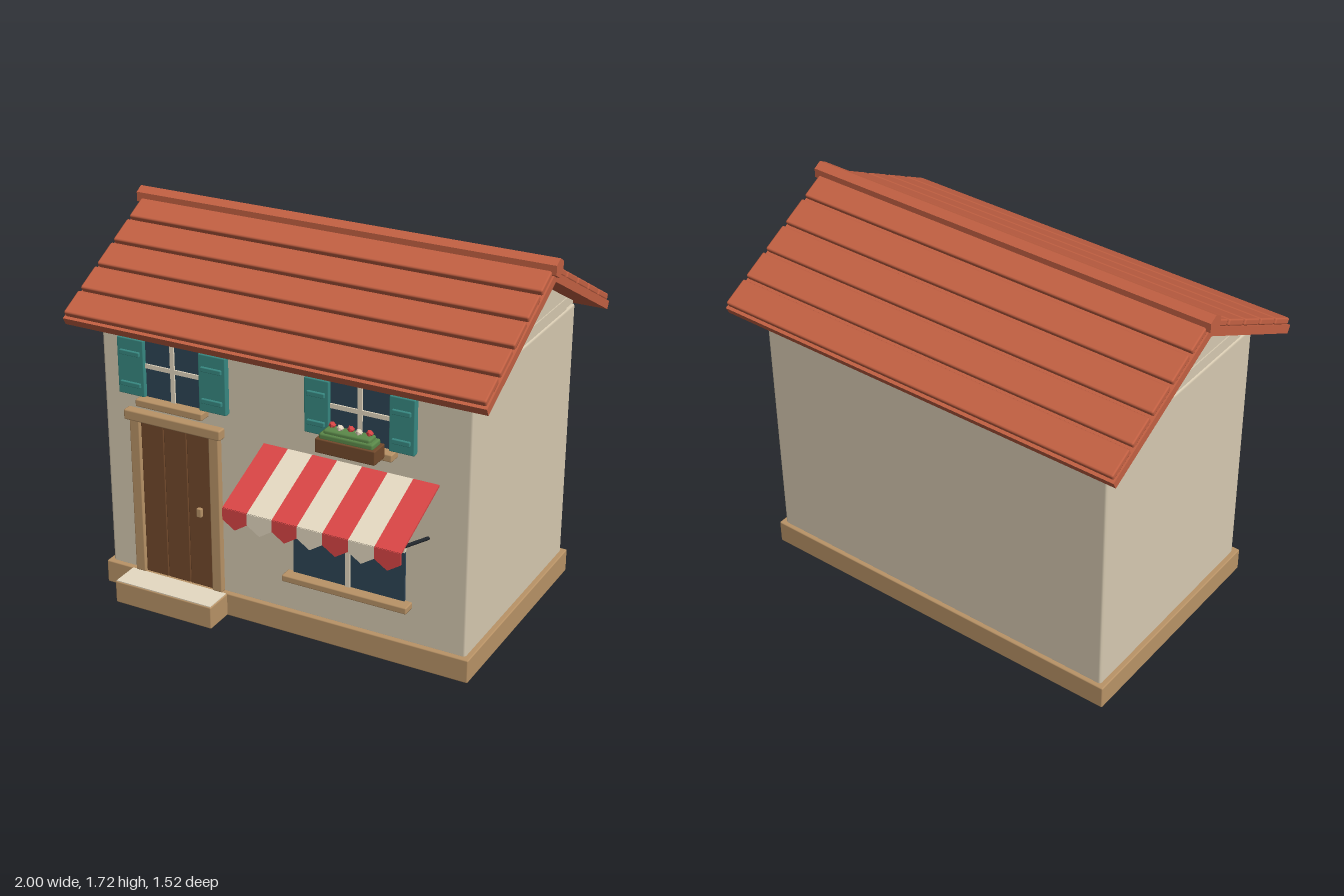
import * as THREE from 'three';
import { toCreasedNormals } from 'three/addons/utils/BufferGeometryUtils.js';
import { RoundedBoxGeometry } from 'three/addons/geometries/RoundedBoxGeometry.js';

const mat = (name, color) => {
  const m = new THREE.MeshStandardMaterial({ color });
  m.name = name;
  return m;
};
const M = {
  wall: mat('plaster', 0xd8cbb2),
  timber: mat('tan timber', 0xba9467),
  roof: mat('terracotta', 0xc46143),
  wood: mat('dark wood', 0x734a2c),
  teal: mat('teal paint', 0x388a83),
  glass: mat('dark glass', 0x2e4556),
  red: mat('red cloth', 0xda4646),
  cream: mat('cream', 0xe6dac2),
  green: mat('leaf green', 0x5c8a4a),
  iron: mat('dark iron', 0x22282e),
};
const FRONT = 0.414; // front wall plane
const RIDGE_Z = -0.11;

function add(parent, name, geometry, material) {
  const mesh = new THREE.Mesh(geometry, material);
  mesh.name = name;
  parent.add(mesh);
  return mesh;
}

// Box given by its limits on each axis, with an optional softened edge
function box(parent, name, material, [x0, x1], [y0, y1], [z0, z1], bevel = 0) {
  const size = [x1 - x0, y1 - y0, z1 - z0];
  const g = bevel ? new RoundedBoxGeometry(...size, 1, bevel) : new THREE.BoxGeometry(...size);
  const mesh = add(parent, name, g, material);
  mesh.position.set((x0 + x1) / 2, (y0 + y1) / 2, (z0 + z1) / 2);
  return mesh;
}

function group(parent, name) {
  const g = new THREE.Group();
  g.name = name;
  parent.add(g);
  return g;
}

// Glass pane with a cross of glazing bars
function pane(parent, [x0, x1], [y0, y1], barY, bar = 0.02) {
  const cx = (x0 + x1) / 2;
  box(parent, 'glass', M.glass, [x0, x1], [y0, y1], [FRONT - 0.01, 0.423]);
  box(parent, 'verticalBar', M.cream, [cx - bar / 2, cx + bar / 2], [y0, y1], [FRONT, 0.431]);
  box(parent, 'horizontalBar', M.cream, [x0, x1], [barY - bar / 2, barY + bar / 2], [FRONT, 0.43]);
}

function shutteredWindow(parent, cx, half, y0, shutterWidth) {
  const w = group(parent, 'shutteredWindow');
  const y1 = 1.238;
  pane(w, [cx - half, cx + half], [y0, y1], (y0 + y1) / 2 + 0.012);
  box(w, 'lintel', M.timber, [cx - half - 0.012, cx + half + 0.012], [y1, 1.273], [FRONT - 0.01, 0.439], 0.005);
  box(w, 'sill', M.timber, [cx - half - 0.03, cx + half + 0.03], [y0 - 0.034, y0], [FRONT - 0.01, 0.473], 0.006);
  for (const s of [-1, 1]) {
    const a = cx + s * half, b = a + s * shutterWidth;
    const x = [Math.min(a, b), Math.max(a, b)];
    box(w, 'shutter', M.teal, x, [y0, y1 - 0.003], [FRONT - 0.005, 0.442], 0.005);
    for (const y of [y0 + 0.052, y1 - 0.068]) {
      box(w, 'shutterRail', M.teal, [x[0] + 0.016, x[1] - 0.016], [y - 0.011, y + 0.011], [0.435, 0.453], 0.004);
    }
  }
}

function buildRoof(parent) {
  const roof = group(parent, 'roof');
  const tilt = Math.atan(0.53);
  for (const turn of [0, Math.PI]) {
    const side = group(roof, 'roofSide');
    side.position.set(0, 1.615, RIDGE_Z);
    side.rotation.y = turn;
    const slope = group(side, 'roofSlope');
    slope.rotation.x = tilt;
    box(slope, 'roofSlab', M.roof, [-0.985, 0.985], [0, 0.037], [-0.01, 0.717]);
    // Five courses of tiles, from the eave up
    for (let i = 0; i < 5; i++) {
      const end = 0.705 - i * 0.147;
      box(slope, 'tileCourse', M.roof, [-0.98, 0.98], [0.036, 0.066], [end - 0.13, end], 0.008);
    }
  }
  const g = new THREE.CylinderGeometry(0.042, 0.042, 2, 6);
  g.rotateY(Math.PI / 6);
  g.rotateZ(Math.PI / 2);
  add(roof, 'ridgeCap', toCreasedNormals(g, 0.3), M.roof).position.set(0, 1.676, RIDGE_Z);
}

function buildDoor(parent) {
  const door = group(parent, 'door');
  const x0 = -0.688, plank = 0.1165;
  box(door, 'doorBacking', M.wood, [x0, -0.337], [0.11, 0.852], [FRONT - 0.01, 0.418]);
  for (let i = 0; i < 3; i++) {
    const x = x0 + i * plank;
    box(door, 'doorPlank', M.wood, [x + 0.001, x + plank - 0.001], [0.11, 0.852], [FRONT - 0.005, 0.428], 0.004);
  }
  for (const x of [-0.738, -0.337]) {
    box(door, 'doorJamb', M.timber, [x, x + 0.05], [0.108, 0.856], [FRONT - 0.01, 0.441], 0.006);
  }
  box(door, 'doorLintel', M.timber, [-0.757, -0.27], [0.854, 0.903], [FRONT - 0.01, 0.455], 0.008);
  box(door, 'doorHandle', M.timber, [-0.405, -0.381], [0.458, 0.5], [0.425, 0.445], 0.004);
  box(door, 'doorstep', M.timber, [-0.762, -0.263], [0, 0.107], [0.42, 0.574], 0.006);
  box(door, 'stepTread', M.cream, [-0.757, -0.268], [0.105, 0.11], [0.437, 0.57]);
}

function buildAwning(parent) {
  const awning = group(parent, 'awning');
  const x0 = -0.072, w = 0.813 / 7;
  const top = [0.877, 0.42], edge = [0.73, 0.76]; // y, z
  const drop = top[0] - edge[0], run = edge[1] - top[1];
  for (let i = 0; i < 7; i++) {
    const material = i % 2 ? M.cream : M.red;
    const cx = x0 + (i + 0.5) * w;
    const cloth = add(awning, 'awningStripe', new THREE.BoxGeometry(w, 0.009, Math.hypot(drop, run)), material);
    cloth.position.set(cx, (top[0] + edge[0]) / 2, (top[1] + edge[1]) / 2);
    cloth.rotation.x = Math.atan2(drop, run);
    // Hanging flap ending in a point
    const flap = new THREE.Shape([[-0.5, 0], [-0.5, -0.052], [0, -0.09], [0.5, -0.052], [0.5, 0]]
      .map(([x, y]) => new THREE.Vector2(x * w, y)));
    add(awning, 'awningFlap', new THREE.ExtrudeGeometry(flap, { depth: 0.008, bevelEnabled: false }), material)
      .position.set(cx, 0.732, 0.756);
  }
  for (const x of [-0.033, 0.694]) {
    const path = new THREE.LineCurve3(new THREE.Vector3(x, 0.622, 0.41), new THREE.Vector3(x, 0.726, 0.75));
    add(awning, 'awningArm', new THREE.TubeGeometry(path, 1, 0.008, 8), M.iron);
  }
}

function buildFlowerBox(parent) {
  const planter = group(parent, 'flowerBox');
  box(planter, 'planter', M.wood, [0.249, 0.521], [0.973, 1.036], [0.473, 0.564], 0.005);
  box(planter, 'lowerLeaves', M.green, [0.262, 0.508], [1.03, 1.06], [0.481, 0.557], 0.01);
  box(planter, 'upperLeaves', M.green, [0.278, 0.492], [1.05, 1.076], [0.488, 0.55], 0.01);
  for (let i = 0; i < 5; i++) {
    const flower = add(planter, 'flower', new THREE.IcosahedronGeometry(0.016, 0), i % 2 ? M.cream : M.red);
    flower.position.set(0.3 + i * 0.0425, 1.083, 0.507 + (i % 2) * 0.012);
  }
}

export function createModel() {
  const house = new THREE.Group();
  house.name = 'house';

  box(house, 'plinth', M.timber, [-0.9, 0.9], [0, 0.11], [-0.656, 0.437], 0.006);
  box(house, 'walls', M.wall, [-0.877, 0.877], [0.1, 1.325], [-0.637, FRONT], 0.012);

  // Gable fill under the roof, set in slightly from the walls
  const gable = new THREE.Shape([[-0.525, 1.31], [0.525, 1.31], [0.525, 1.335], [0, 1.613], [-0.525, 1.335]]
    .map(([x, y]) => new THREE.Vector2(x, y)));
  const gableGeometry = new THREE.ExtrudeGeometry(gable, { depth: 1.73, bevelEnabled: false });
  gableGeometry.translate(0, 0, -0.865);
  gableGeometry.rotateY(Math.PI / 2);
  add(house, 'gable', gableGeometry, M.wall).position.z = RIDGE_Z;
  box(house, 'gableBand', M.wall, [-0.87, 0.87], [1.315, 1.375], [RIDGE_Z - 0.44, RIDGE_Z + 0.44]);

  buildRoof(house);
  buildDoor(house);

  shutteredWindow(house, -0.513, 0.137, 0.973, 0.133);
  shutteredWindow(house, 0.384, 0.137, 0.989, 0.115);
  buildFlowerBox(house);

  const shop = group(house, 'shopWindow');
  pane(shop, [0.067, 0.596], [0.3, 0.75], 0.545, 0.021);
  box(shop, 'sill', M.timber, [0.035, 0.628], [0.272, 0.303], [FRONT - 0.01, 0.473], 0.006);
  buildAwning(house);

  return house;
}
